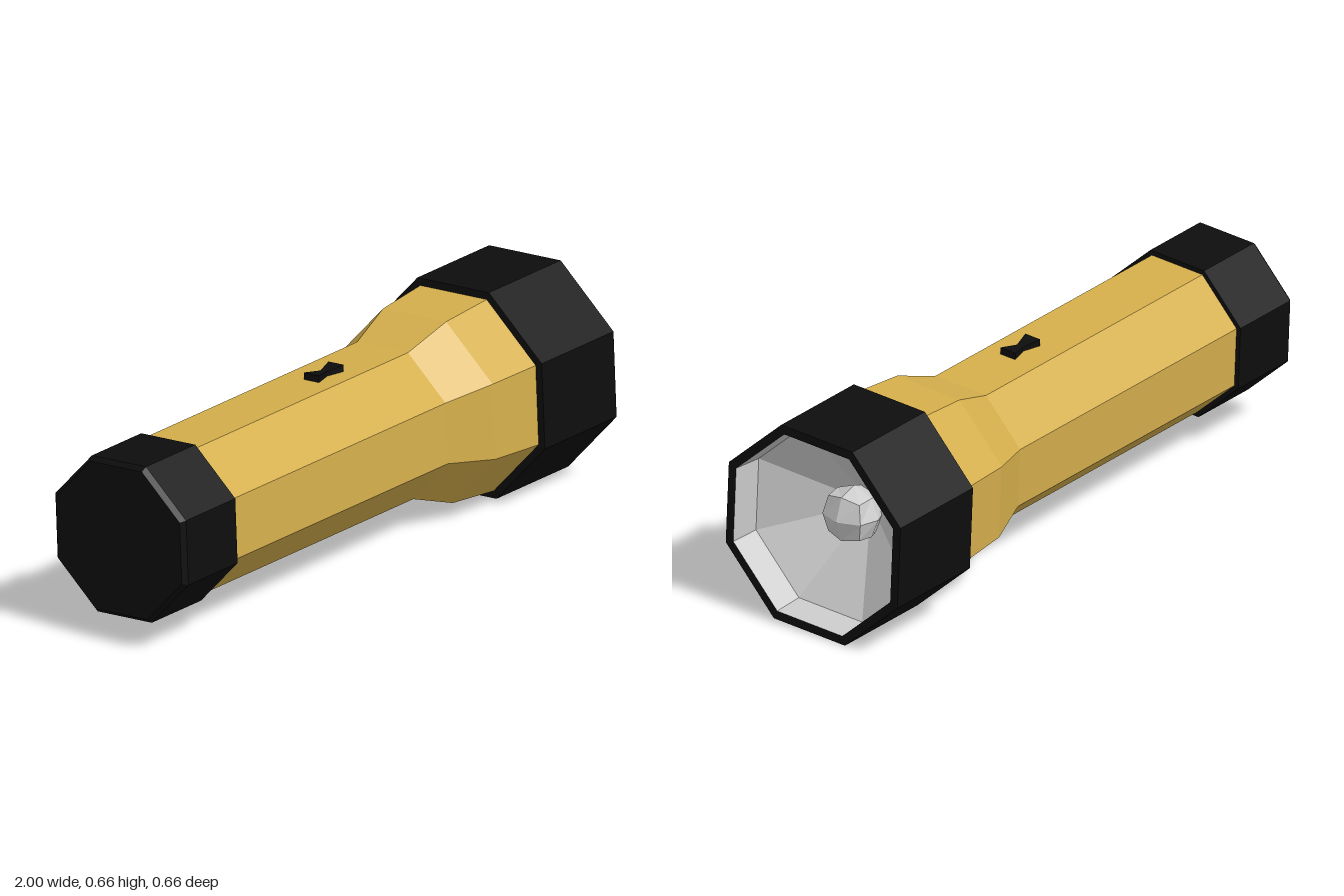
import * as THREE from 'three';

const AXIS_Y = 0.328;
const material = (color) => new THREE.MeshStandardMaterial({ color, flatShading: true });
const yellow = material(0xd4ae4c);
const black = material(0x0d0d0d);
const grey = material(0xcccccc);

// Eight-sided turned part along x; profile is a list of [radius, x]
function turned(name, profile, mat) {
  const points = profile.map(([r, x]) => new THREE.Vector2(r, x));
  const phi = THREE.MathUtils.degToRad(-70);
  const mesh = new THREE.Mesh(new THREE.LatheGeometry(points, 8, phi), mat);
  mesh.name = name;
  mesh.rotation.z = -Math.PI / 2;
  mesh.position.y = AXIS_Y;
  return mesh;
}

// Rounded cube bulb, a little fuller toward the opening
function makeBulb() {
  const geo = new THREE.BoxGeometry(2, 2, 2, 2, 2, 2);
  const pos = geo.attributes.position;
  const v = new THREE.Vector3();
  for (let i = 0; i < pos.count; i++) {
    v.fromBufferAttribute(pos, i).normalize().multiplyScalar(0.09);
    if (v.x > 0.01) {
      v.y *= 1.12;
      v.z *= 1.12;
    }
    pos.setXYZ(i, v.x, v.y, v.z);
  }
  const mesh = new THREE.Mesh(geo, grey);
  mesh.name = 'bulb';
  mesh.position.set(0.8, AXIS_Y, 0);
  return mesh;
}

// Sliding switch: a box pinched in width and height at its middle
function makeSwitch() {
  const geo = new THREE.BoxGeometry(0.12, 0.03, 0.056, 2, 1, 1);
  const pos = geo.attributes.position;
  for (let i = 0; i < pos.count; i++) {
    if (Math.abs(pos.getX(i)) < 0.01) {
      pos.setZ(i, pos.getZ(i) * 0.43);
      if (pos.getY(i) > 0) pos.setY(i, 0.007);
    }
  }
  const mesh = new THREE.Mesh(geo, black);
  mesh.name = 'switch';
  mesh.position.set(0, 0.564, 0);
  mesh.rotation.x = THREE.MathUtils.degToRad(-2.5);
  return mesh;
}

export function createModel() {
  const group = new THREE.Group();
  group.name = 'flashlight';
  group.add(
    turned('body', [[0.248, -0.76], [0.248, 0.3], [0.307, 0.46], [0.325, 0.66]], yellow),
    turned('tailCap', [[0, -1], [0.25, -1], [0.264, -0.985], [0.264, -0.745], [0.24, -0.745]], black),
    turned('headRing', [[0.3, 0.65], [0.349, 0.65], [0.349, 1], [0.319, 1]], black),
    turned('reflector', [[0.319, 1], [0.311, 0.9], [0, 0.72]], grey),
    makeBulb(),
    makeSwitch()
  );
  return group;
}
